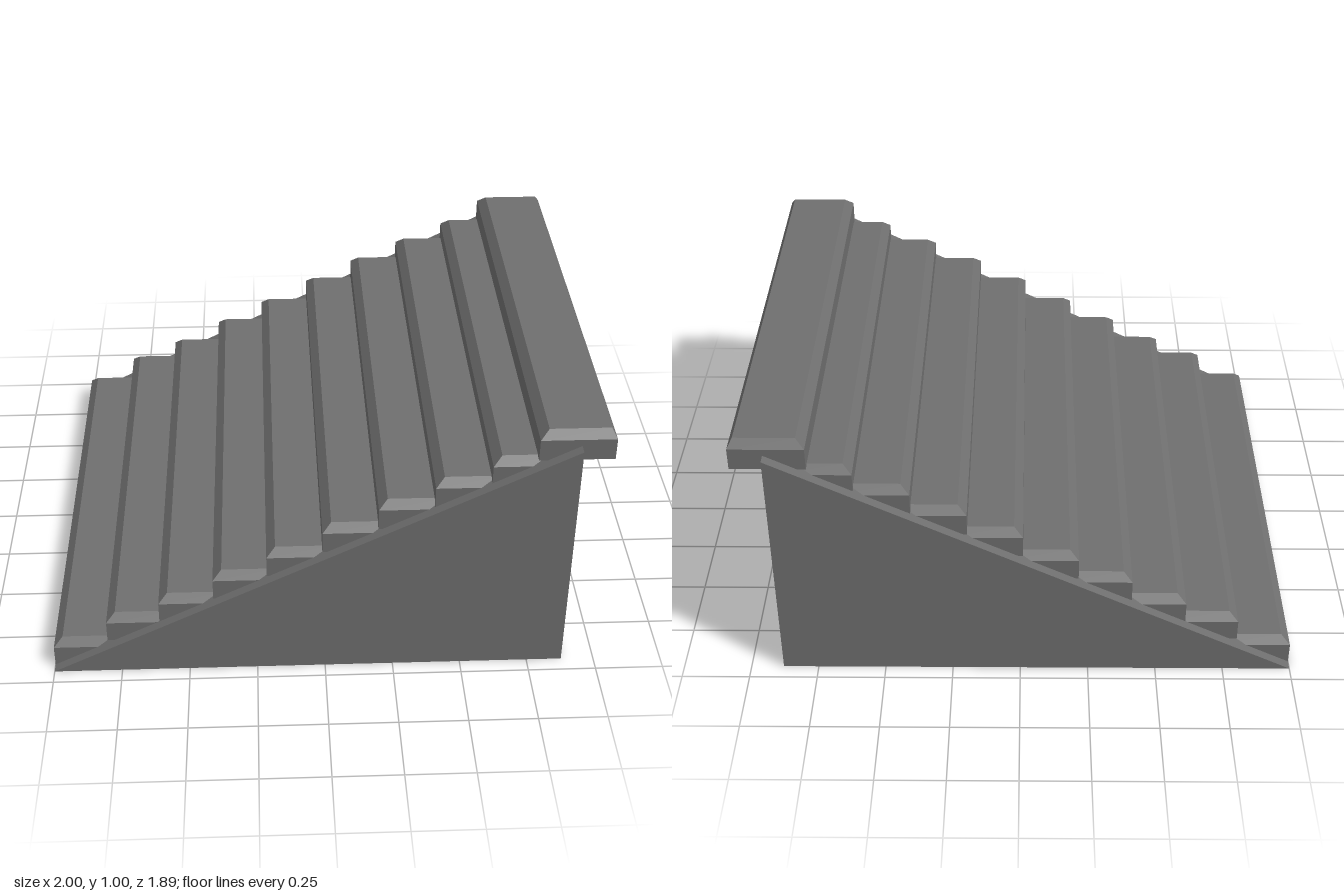
import * as THREE from 'three';

const stone = new THREE.MeshStandardMaterial({ color: 0x6e6e6e });
stone.name = 'grey stone';

// Slab with vertical sides and a bevelled top edge; origin at the lower left end
function slabGeometry(width, height, depth) {
  const box = new THREE.BoxGeometry(width, height, depth, 1, 2, 1);
  box.translate(width / 2, height / 2, 0);
  const p = box.attributes.position;
  for (let i = 0; i < p.count; i++) {
    const x = p.getX(i), y = p.getY(i), z = p.getZ(i);
    if (y > height * 0.75) {
      p.setX(i, x < width / 2 ? 0.032 : width - 0.018);
      p.setZ(i, z - Math.sign(z) * 0.028);
    } else if (y > height * 0.25) {
      p.setY(i, height - 0.03);
    }
  }
  const geometry = box.toNonIndexed();
  geometry.computeVertexNormals();
  return geometry;
}

export function createModel() {
  const group = new THREE.Group();
  group.name = 'staircase';

  // Solid wedge under the steps
  const profile = new THREE.Shape([
    new THREE.Vector2(-1, 0),
    new THREE.Vector2(0.88, 0),
    new THREE.Vector2(0.88, 0.945),
  ]);
  const wedgeGeometry = new THREE.ExtrudeGeometry(profile, { depth: 1.886, bevelEnabled: false });
  wedgeGeometry.translate(0, 0, -0.943);
  const wedge = new THREE.Mesh(wedgeGeometry, stone);
  wedge.name = 'wedgeBase';
  group.add(wedge);

  // Steps: left edge and top height; the last one overhangs as the landing
  const steps = [
    [-1, 0.112], [-0.8, 0.225], [-0.605, 0.31], [-0.405, 0.413], [-0.21, 0.513],
    [-0.01, 0.618], [0.188, 0.716], [0.385, 0.806], [0.58, 0.893], [0.735, 1],
  ];
  const height = 0.112;
  const slab = slabGeometry(0.265, height, 1.81);
  steps.forEach(([x, top], i) => {
    const step = new THREE.Mesh(slab, stone);
    step.name = i === steps.length - 1 ? 'landing' : `step${i + 1}`;
    step.position.set(x, top - height, 0);
    group.add(step);
  });

  return group;
}
